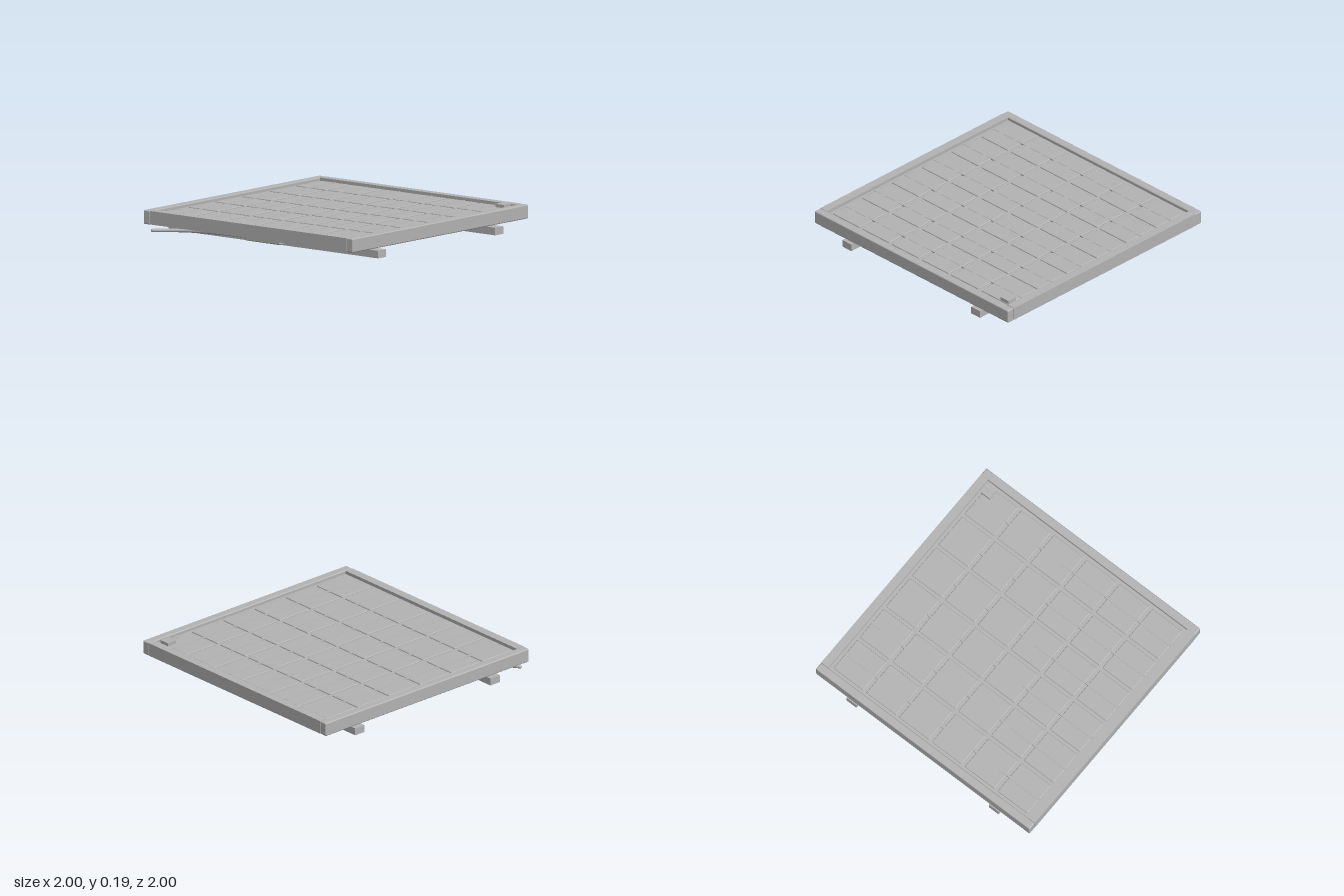
import * as THREE from 'three';
import { RoundedBoxGeometry } from 'three/addons/geometries/RoundedBoxGeometry.js';

export function createModel() {
  const group = new THREE.Group();
  const grey = new THREE.MeshStandardMaterial({ color: 0xb4b4b4 });
  grey.name = 'plain grey';

  const add = (name, geometry, x = 0, y = 0, z = 0) => {
    const mesh = new THREE.Mesh(geometry, grey);
    mesh.name = name;
    mesh.position.set(x, y, z);
    group.add(mesh);
  };

  // Box given by its extents on each axis, optionally with rounded edges
  const block = (name, [x0, x1], [y0, y1], [z0, z1], radius = 0) => {
    const size = [x1 - x0, y1 - y0, z1 - z0];
    const geometry = radius
      ? new RoundedBoxGeometry(...size, 2, radius)
      : new THREE.BoxGeometry(...size);
    add(name, geometry, (x0 + x1) / 2, (y0 + y1) / 2, (z0 + z1) / 2);
  };
  const around = (centre, width) => [centre - width / 2, centre + width / 2];

  // Laminate with a flat underside
  block('backPanel', [-0.94, 0.94], [0.08, 0.155], [-0.94, 0.94]);

  for (const s of [-1, 1]) {
    // Raised frame
    block('sideRail', around(s * 0.968, 0.064), [0.077, 0.181], [-1, 1], 0.009);
    block('endRail', [-0.937, 0.937], [0.08, 0.18], around(s * 0.967, 0.066));

    // Mounting bars and their clamps
    block('mountingBar', [-1, 1], [0, 0.056], around(s * 0.665, 0.092));
    for (const t of [-1, 1]) {
      block('clamp', around(t * 0.802, 0.145), [0.05, 0.081], around(s * 0.665, 0.13));
    }
  }

  // Grid of cells with a thin conductor along each column
  const pitch = 0.307;
  for (let i = 0; i < 6; i++) {
    const x = (i - 2.5) * pitch;
    for (let j = 0; j < 6; j++) {
      const z = (j - 2.5) * pitch;
      block('cell', around(x, 0.28), [0.148, 0.164], around(z, 0.28), 0.006);
    }
    block('conductor', around(x, 0.016), [0.154, 0.1655], [-0.91, 0.91]);
  }

  // Small tag in the rear corner
  block('cornerTag', [0.825, 0.905], [0.155, 0.188], [-0.91, -0.83]);

  // Junction box and its output cable
  block('junctionBox', [-0.165, 0.162], [0.022, 0.081], [0.705, 0.832], 0.008);
  const path = new THREE.CatmullRomCurve3([
    new THREE.Vector3(-0.15, 0.041, 0.765),
    new THREE.Vector3(-0.5, 0.037, 0.775),
    new THREE.Vector3(-0.76, 0.033, 0.84),
    new THREE.Vector3(-0.945, 0.03, 0.96),
  ]);
  add('cable', new THREE.TubeGeometry(path, 32, 0.013, 10));
  const cap = new THREE.SphereGeometry(0.013, 10, 8);
  add('cableEnd', cap, -0.945, 0.03, 0.96);

  return group;
}
